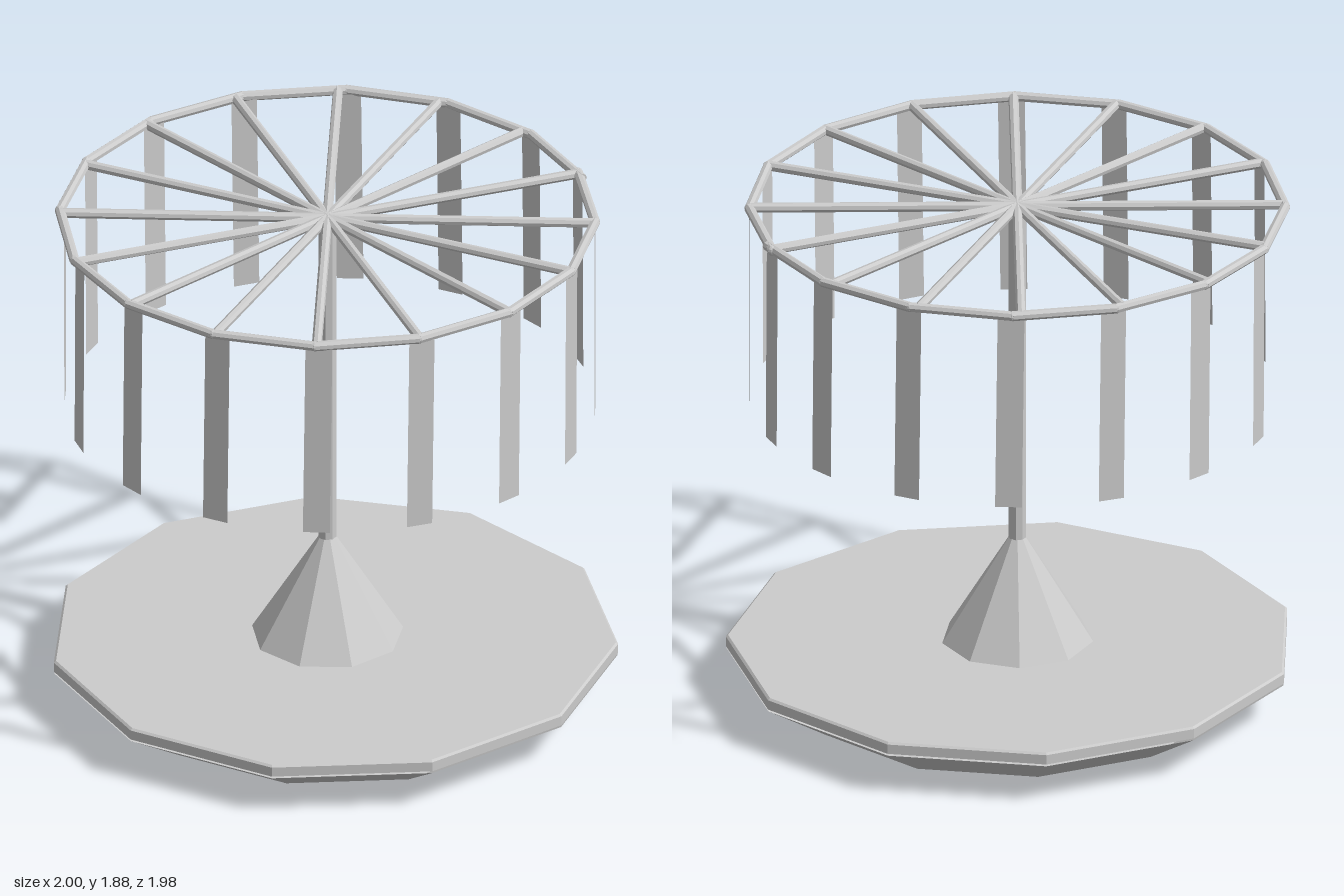
import * as THREE from 'three';

const mat = new THREE.MeshStandardMaterial({ color: 0xcccccc, flatShading: true });
const thinMat = new THREE.MeshStandardMaterial({ color: 0xcccccc, flatShading: true, side: THREE.DoubleSide });

export function createModel() {
  const model = new THREE.Group();
  model.name = 'carousel';

  const add = (name, geometry, x, y, z, material = mat) => {
    const mesh = new THREE.Mesh(geometry, material);
    mesh.name = name;
    mesh.position.set(x, y, z);
    model.add(mesh);
    return mesh;
  };

  // Straight round bar between two points
  const bar = (name, a, b, radius) => {
    const dir = b.clone().sub(a);
    const mid = a.clone().add(b).multiplyScalar(0.5);
    const mesh = add(name, new THREE.CylinderGeometry(radius, radius, dir.length(), 8), mid.x, mid.y, mid.z);
    mesh.quaternion.setFromUnitVectors(new THREE.Vector3(0, 1, 0), dir.normalize());
  };

  // Eleven-sided base: open tapered pan with a bevelled deck just above it
  const elevenSided = (...profile) => new THREE.LatheGeometry(
    profile.map(([r, y]) => new THREE.Vector2(r, y)), 11, -0.02);
  add('baseUnderside', elevenSided([0, 0], [0.77, 0], [1.008, 0.147]), 0, 0, -0.02, thinMat);
  add('deck', elevenSided([0, 0.155], [1.01, 0.155], [1.01, 0.191], [1.002, 0.198], [0, 0.198]), 0, 0, -0.02);

  // Nine-sided cone carrying the central pole
  const cx = -0.02, cz = -0.015;
  add('poleCone', new THREE.CylinderGeometry(0.03, 0.271, 0.39, 9, 1, true, -Math.PI / 2), cx, 0.393, cz);
  add('pole', new THREE.CylinderGeometry(0.032, 0.032, 1.28, 8), cx, 1.226, cz);

  // Point on a horizontal circle, angle in degrees from +x towards +z
  const onCircle = (x, y, z, radius, degrees) => {
    const a = THREE.MathUtils.degToRad(degrees);
    return new THREE.Vector3(x + radius * Math.cos(a), y, z + radius * Math.sin(a));
  };

  // Rim bars and strips advance slightly more than a sixteenth turn,
  // so the last one closes in on the first
  const count = 16, wheelY = 1.867, barR = 0.018;
  const hub = new THREE.Vector3(cx, wheelY, cz);
  const rimAngle = (i) => -32 + 22.68 * i;
  const strip = new THREE.PlaneGeometry(0.095, 0.74);
  for (let i = 0; i < count; i++) {
    bar('spoke', hub, onCircle(cx, wheelY, cz, 0.945, 13.5 + 22.5 * i), barR);

    const p = onCircle(cx, wheelY, cz, 0.947, rimAngle(i));
    bar('rimBar', p, onCircle(cx, wheelY, cz, 0.947, rimAngle(i + 1)), barR);
    add('rimJoint', new THREE.SphereGeometry(barR, 8, 6), p.x, p.y, p.z);

    // Thin strip hanging from the rim, leaning slightly along it
    const s = onCircle(-0.009, 1.488, -0.006, 0.938, rimAngle(i));
    add('hangingStrip', strip, s.x, s.y, s.z, thinMat)
      .rotation.set(0, Math.PI / 2 - THREE.MathUtils.degToRad(rimAngle(i)), -0.012);
  }

  return model;
}
